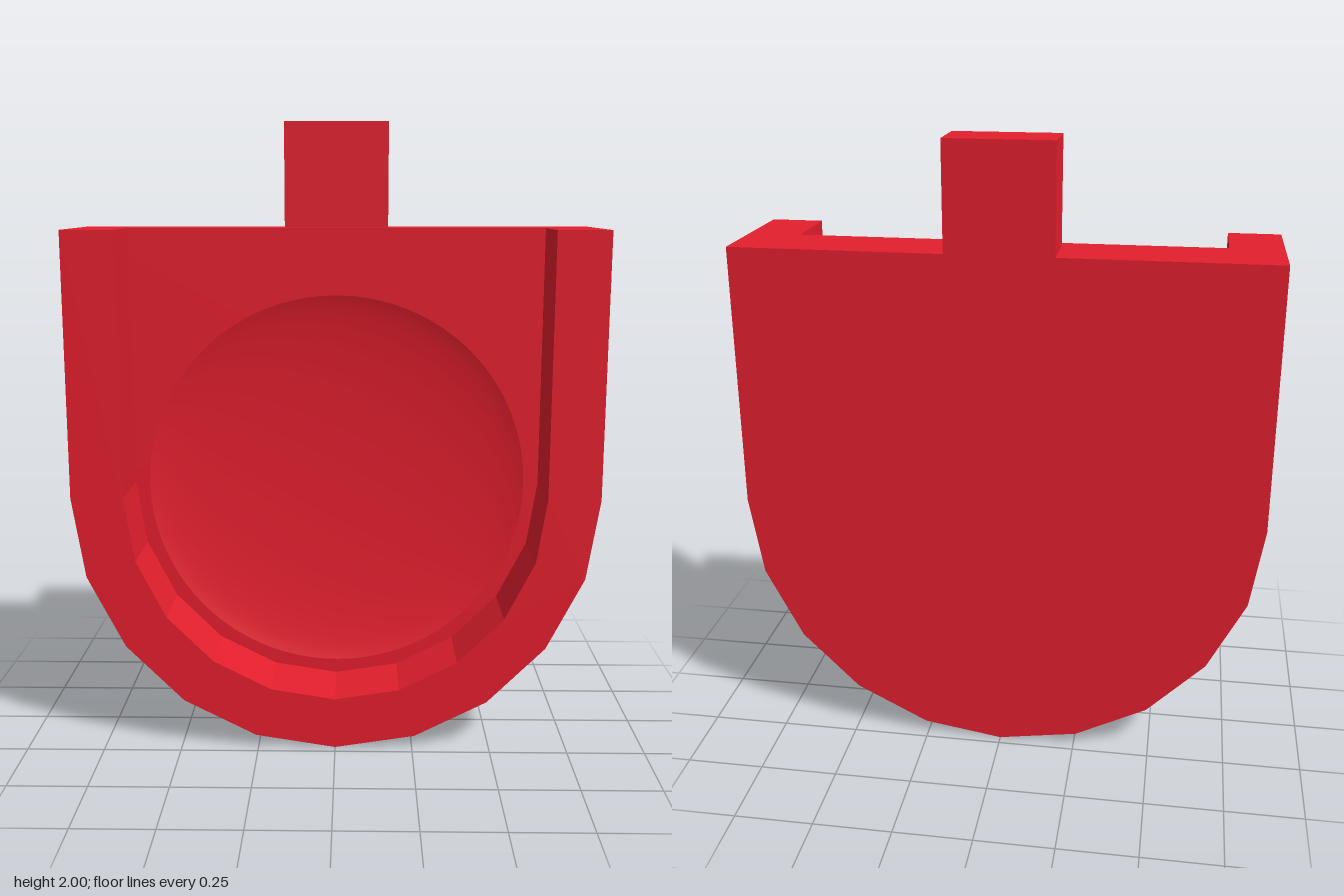
import * as THREE from 'three';

const TOP = 1.667, CY = 0.833;
const BACK = -0.219, FLOOR = -0.011, FRONT = 0.219;
const DISH_R = 0.62, SEGMENTS = 64;

// Half circle below, in ten straight facets, running from +x to -x
function arc(radius) {
  return Array.from({ length: 11 }, (_, i) => {
    const a = -i * Math.PI / 10;
    return new THREE.Vector2(radius * Math.cos(a), CY + radius * Math.sin(a));
  });
}

// Straight sides rising from the arc to the flat top
function uOutline(radius) {
  return [new THREE.Vector2(radius, TOP), ...arc(radius), new THREE.Vector2(-radius, TOP)];
}

export function createModel() {
  const group = new THREE.Group();
  const red = new THREE.MeshStandardMaterial({ color: 0xe41f2e });

  const add = (name, geometry) => {
    const mesh = new THREE.Mesh(geometry, red);
    mesh.name = name;
    group.add(mesh);
    return mesh;
  };
  // A full circle is split into twice curveSegments, matching the dish
  const slab = (name, shape, z0, z1) => {
    const geometry = new THREE.ExtrudeGeometry(shape, {
      depth: z1 - z0, bevelEnabled: false, curveSegments: SEGMENTS / 2,
    });
    add(name, geometry.translate(0, 0, z0));
  };

  // Solid back, then a floor layer pierced for the dish
  const middle = -0.1;
  slab('backPlate', new THREE.Shape(uOutline(0.833)), BACK, middle);
  const floor = new THREE.Shape(uOutline(0.833));
  floor.holes.push(new THREE.Path().absarc(0, CY, DISH_R, 0, Math.PI * 2, true));
  slab('floor', floor, middle, FLOOR);

  // Raised U-shaped wall, open at the top
  const wall = new THREE.Shape([...uOutline(0.833), ...uOutline(0.667).reverse()]);
  slab('rimWall', wall, FLOOR, FRONT);

  // Very shallow hollow: cap of a flattened sphere, profile from rim to centre
  const a = 0.65, c = 0.075;
  const rim = Math.acos(DISH_R / a);
  const profile = Array.from({ length: 17 }, (_, i) => {
    const t = rim + (Math.PI / 2 - rim) * i / 16;
    return new THREE.Vector2(Math.max(0, a * Math.cos(t)), c * (Math.sin(rim) - Math.sin(t)));
  });
  const dish = add('dish', new THREE.LatheGeometry(profile, SEGMENTS).rotateX(Math.PI / 2));
  dish.position.set(0, CY, FLOOR);

  // Tab on top, flush with the back
  const tab = add('topTab', new THREE.BoxGeometry(0.333, 2 - TOP, 0.167));
  tab.position.set(0, (2 + TOP) / 2, BACK + 0.167 / 2);

  return group;
}
